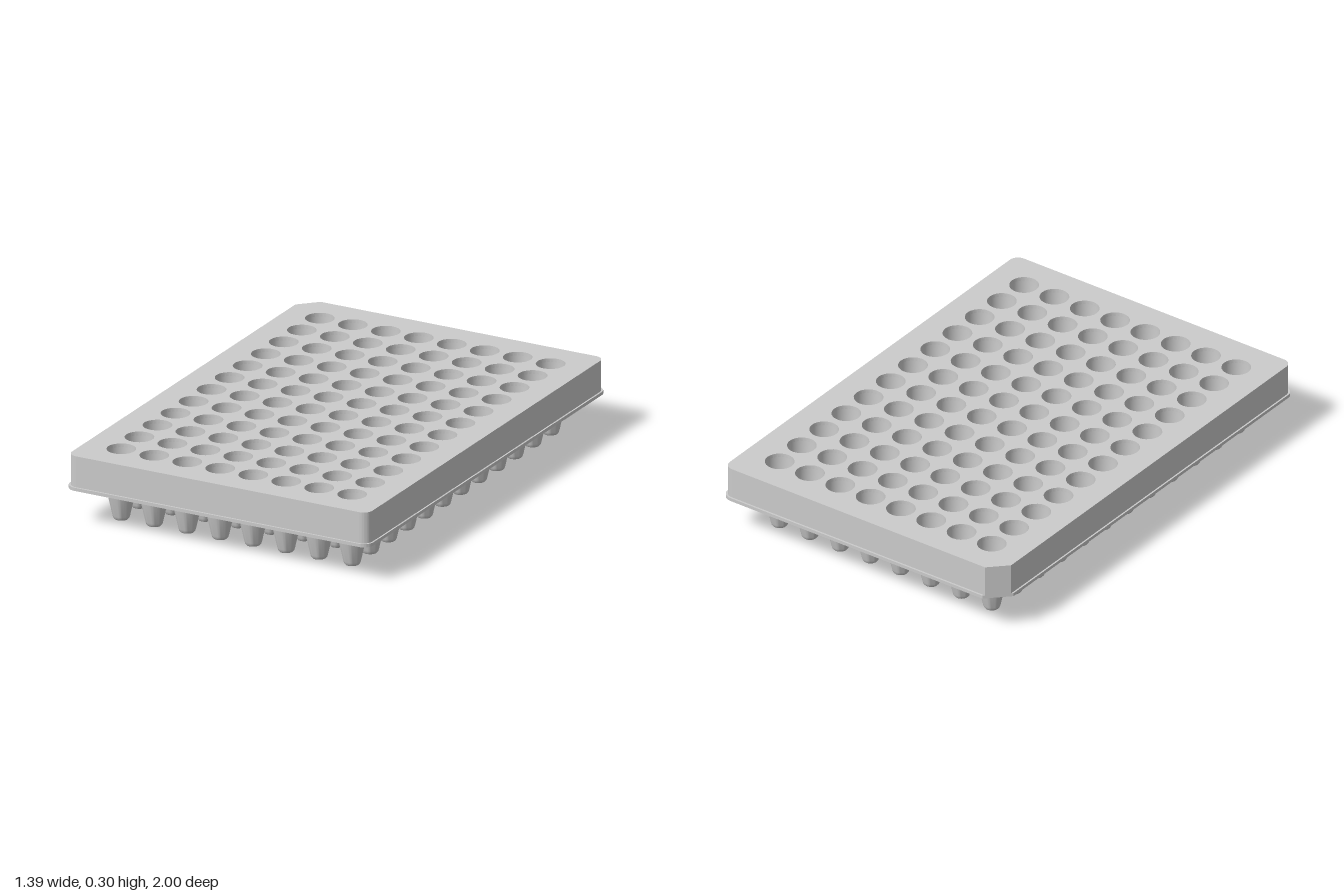
import * as THREE from 'three';
import { toCreasedNormals } from 'three/addons/utils/BufferGeometryUtils.js';

const PITCH = 0.151, COLS = 8, ROWS = 12;
const TOP = 0.302, SKIRT_BOTTOM = 0.155, DECK = 0.016, HOLE_R = 0.06;

// Rounded rectangle in x/z with the (-x, -z) corner cut off
function outline(hx, hz, r, cut, target = new THREE.Shape()) {
  target.moveTo(-hx + cut, -hz);
  target.lineTo(hx - r, -hz);
  target.absarc(hx - r, -hz + r, r, -Math.PI / 2, 0, false);
  target.lineTo(hx, hz - r);
  target.absarc(hx - r, hz - r, r, 0, Math.PI / 2, false);
  target.lineTo(-hx + r, hz);
  target.absarc(-hx + r, hz - r, r, Math.PI / 2, Math.PI, false);
  target.lineTo(-hx, -hz + cut);
  target.closePath();
  return target;
}

// Extrude a plan shape downwards from height top
function slab(shape, top, depth) {
  const g = new THREE.ExtrudeGeometry(shape, { depth, bevelEnabled: false, curveSegments: 12 });
  g.rotateX(Math.PI / 2).translate(0, top, 0);
  return toCreasedNormals(g, 0.5);
}

export function createModel() {
  const group = new THREE.Group();
  const material = new THREE.MeshStandardMaterial({ color: 0xcccccc });
  const add = (name, geometry, parent = group) => {
    const mesh = new THREE.Mesh(geometry, material);
    mesh.name = name;
    parent.add(mesh);
    return mesh;
  };

  const centres = [];
  for (let i = 0; i < COLS; i++)
    for (let j = 0; j < ROWS; j++)
      centres.push([(i - (COLS - 1) / 2) * PITCH, (j - (ROWS - 1) / 2) * PITCH]);

  // Top deck with a hole over every well
  const deck = outline(0.688, 0.992, 0.04, 0.075);
  for (const [x, z] of centres)
    deck.holes.push(new THREE.Path().absarc(x, z, HOLE_R, 0, Math.PI * 2, true));
  add('deck', slab(deck, TOP, DECK));

  // Thin skirt wall, open underneath
  const skirt = outline(0.688, 0.992, 0.04, 0.075);
  skirt.holes.push(outline(0.674, 0.978, 0.028, 0.067, new THREE.Path()));
  add('skirt', slab(skirt, TOP - DECK, TOP - DECK - SKIRT_BOTTOM));

  // Narrow lip around the foot of the skirt
  const lip = outline(0.695, 1, 0.045, 0.09);
  lip.holes.push(outline(0.674, 0.978, 0.028, 0.067, new THREE.Path()));
  add('lip', slab(lip, SKIRT_BOTTOM + 0.014, 0.014));

  // Well: outside from tip to deck, then inside from rim to floor
  const profile = [
    [0, 0], [0.02, 0], [0.028, 0.003], [0.033, 0.009], [0.036, 0.019],
    [0.066, 0.155], [0.068, 0.17], [0.069, TOP - DECK / 2],
    [HOLE_R, TOP - 0.001], [0.059, 0.17], [0.056, 0.15],
    [0.028, 0.023], [0.02, 0.013], [0, 0.011],
  ].map(([r, y]) => new THREE.Vector2(r, y));
  const wellGeometry = toCreasedNormals(new THREE.LatheGeometry(profile, 32), 0.6);

  const wells = new THREE.Group();
  wells.name = 'wells';
  group.add(wells);
  for (const [x, z] of centres) add('well', wellGeometry, wells).position.set(x, 0, z);

  return group;
}
